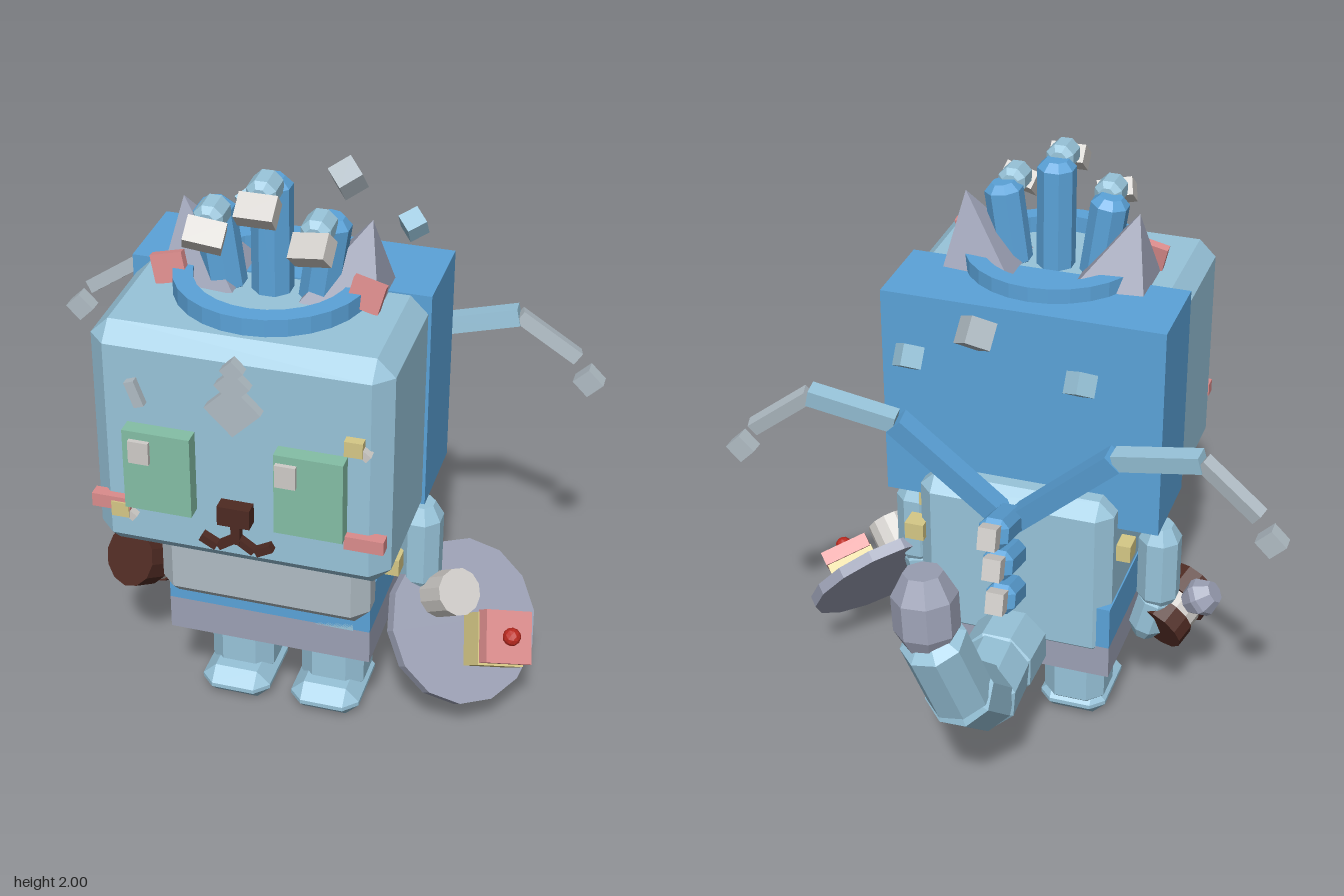
import * as THREE from 'three';
import { ConvexGeometry } from 'three/addons/geometries/ConvexGeometry.js';

const V = (x, y, z) => new THREE.Vector3(x, y, z);
const UP = V(0, 1, 0);

function makeMaterials() {
  const colours = {
    lightBlue: 0x98c4da, blue: 0x5ba3d9, slate: 0x9ca1b5, paleGrey: 0xb0bcc4, cream: 0xcfccc8,
    green: 0x84bfa6, brown: 0x4e2a22, pink: 0xdb8c8c, yellow: 0xd6c886, red: 0xbc2a20,
  };
  const mats = {};
  for (const [name, color] of Object.entries(colours)) {
    mats[name] = new THREE.MeshStandardMaterial({ color });
    mats[name].name = name;
  }
  return mats;
}

// Split the faces so each one is shaded flat
function flat(geo) {
  const g = geo.index ? geo.toNonIndexed() : geo;
  g.computeVertexNormals();
  return g;
}

// Box with every edge cut off
function chamferBox(w, h, d, c) {
  const pts = [], half = [w / 2, h / 2, d / 2];
  for (const sx of [-1, 1]) for (const sy of [-1, 1]) for (const sz of [-1, 1])
    for (let keep = 0; keep < 3; keep++) {
      const p = half.map((v, i) => (i === keep ? v : v - c));
      pts.push(V(p[0] * sx, p[1] * sy, p[2] * sz));
    }
  return new ConvexGeometry(pts);
}

// Eight-sided rod with bevelled ends
function rodGeometry(r, len, cut = 0.4) {
  const k = r * cut, h = len / 2;
  const profile = [[0, -h], [r * 0.6, -h], [r, -h + k], [r, h - k], [r * 0.6, h], [0, h]];
  return flat(new THREE.LatheGeometry(profile.map(([x, y]) => new THREE.Vector2(x, y)), 8, Math.PI / 8));
}

export function createModel() {
  const m = makeMaterials();
  const model = new THREE.Group();
  model.name = 'catCharacter';

  function add(name, geo, mat, pos, rot = [0, 0, 0], parent = model) {
    const mesh = new THREE.Mesh(geo, mat);
    mesh.name = name;
    mesh.position.set(...pos);
    mesh.rotation.set(...rot);
    parent.add(mesh);
    return mesh;
  }
  const box = (name, size, mat, pos, rot, parent) =>
    add(name, new THREE.BoxGeometry(...size), mat, pos, rot, parent);

  // Place a y-aligned geometry between two points
  function span(name, a, b, mat, makeGeo) {
    const dir = b.clone().sub(a), mid = a.clone().add(b).multiplyScalar(0.5);
    const mesh = add(name, makeGeo(dir.length()), mat, mid.toArray());
    mesh.quaternion.setFromUnitVectors(UP, dir.normalize());
    return mesh;
  }
  const rod = (name, a, b, r, mat, cut) => span(name, a, b, mat, (l) => rodGeometry(r, l, cut));
  const bar = (name, a, b, w, mat) => span(name, a, b, mat, (l) => new THREE.BoxGeometry(w, l, w));

  // Head, hood and the ring on top
  add('head', chamferBox(0.91, 0.77, 0.51, 0.055), m.lightBlue, [0, 1.225, 0.47]);
  box('hood', [0.93, 0.735, 0.3], m.blue, [0, 1.2475, 0.145]);
  const ring = new THREE.Shape().absarc(0, 0, 0.295, 0, Math.PI * 2);
  ring.holes.push(new THREE.Path().absarc(0, 0, 0.235, 0, Math.PI * 2, true));
  const ringGeo = new THREE.ExtrudeGeometry(ring, { depth: 0.07, bevelEnabled: false, curveSegments: 14 });
  add('crownRing', flat(ringGeo), m.blue, [0, 1.595, 0.36], [-Math.PI / 2, 0, 0]);

  // Ears
  for (const s of [-1, 1]) {
    const ear = new THREE.ConeGeometry(0.177, 0.27, 4).rotateY(Math.PI / 4);
    add('ear', flat(ear), m.slate, [s * 0.255, 1.715, 0.31], [0, 0, -s * 0.24]);
    box('innerEar', [0.1, 0.09, 0.03], m.pink, [s * 0.3, 1.66, 0.415], [-0.15, 0, -s * 0.24]);
  }

  // Three curled fingers with claws inside the ring
  for (const s of [-1, 0, 1]) {
    const x = s * 0.16, drop = s ? 0.1 : 0;
    rod('crownFinger', V(s * 0.14, 1.58, 0.36), V(s * 0.18, 1.97 - drop, 0.36), 0.063, m.blue);
    rod('crownFingerTip', V(x, 1.96 - drop, 0.37), V(x, 1.955 - drop, 0.48), 0.048, m.lightBlue);
    box('crownClaw', [0.115, 0.06, 0.08], m.cream, [x, 1.925 - drop, 0.497], [0.7, 0, s * 0.25]);
  }

  // Eyes and cheeks
  for (const s of [-1, 1]) {
    box('eye', [0.207, 0.27, 0.05], m.green, [s * 0.23, 1.17, 0.75]);
    box('cheek', [0.12, 0.045, 0.04], m.pink, [s * 0.39, 1.022, 0.73]);
  }
  for (const x of [-0.28, 0.165]) box('eyeGlint', [0.063, 0.074, 0.02], m.cream, [x, 1.242, 0.78]);

  // Nose and mouth
  box('nose', [0.1, 0.065, 0.05], m.brown, [0, 1.055, 0.745]);
  box('mouthStem', [0.028, 0.08, 0.03], m.brown, [0, 0.99, 0.74]);
  for (const s of [-1, 1]) {
    box('mouthSide', [0.06, 0.022, 0.03], m.brown, [s * 0.03, 0.945, 0.738], [0, 0, -s * 0.6]);
    box('mouthCorner', [0.055, 0.025, 0.03], m.brown, [s * 0.085, 0.94, 0.738], [0, 0, s * 0.5]);
  }

  // Forehead mark, scar and small face patches
  for (const [y, side] of [[1.415, 0.12], [1.495, 0.075], [1.545, 0.05]])
    box('foreheadDiamond', [side, side, 0.035], m.paleGrey, [0, y, 0.74], [0, 0, Math.PI / 4]);
  box('scar', [0.032, 0.085, 0.03], m.paleGrey, [-0.3, 1.415, 0.735], [0, 0, 0.35]);
  for (const [x, y] of [[0.357, 1.35], [-0.36, 1.005]]) {
    box('facePatch', [0.055, 0.05, 0.03], m.yellow, [x, y, 0.74]);
    box('facePatchSliver', [0.025, 0.06, 0.03], m.cream, [x + 0.02, y - 0.01, 0.735], [0, 0, 0.9]);
  }

  // Torso, belly and shorts
  add('torso', chamferBox(0.66, 0.6, 0.54, 0.05), m.lightBlue, [0, 0.7, 0.17]);
  add('belly', chamferBox(0.685, 0.45, 0.16, 0.05), m.paleGrey, [0, 0.74, 0.44]);
  box('shortsTop', [0.67, 0.155, 0.53], m.blue, [0, 0.5325, 0.175]);
  box('shortsBottom', [0.67, 0.12, 0.53], m.slate, [0, 0.395, 0.175]);

  // Legs, feet and arms
  for (const s of [-1, 1]) {
    add('leg', chamferBox(0.215, 0.4, 0.215, 0.05), m.lightBlue, [s * 0.157, 0.23, 0.178]);
    add('foot', chamferBox(0.235, 0.105, 0.3, 0.045), m.lightBlue, [s * 0.155, 0.0525, 0.22]);
    rod('upperArm', V(s * 0.43, 0.48, 0.175), V(s * 0.43, 0.805, 0.175), 0.073, m.lightBlue, 0.7);
    rod('foreArm', V(s * 0.435, 0.55, 0.17), V(s * 0.385, 0.35, 0.17), 0.062, m.lightBlue, 0.7);
  }

  // Yellow studs on the sides of the torso
  for (const p of [[0.345, 0.82, 0.085], [0.34, 0.785, -0.065], [0.355, 0.61, 0.255],
    [-0.35, 0.8, 0.19], [-0.345, 0.79, 0.02]])
    box('sideStud', [0.065, 0.06, 0.07], m.yellow, p);
  box('sideSliver', [0.03, 0.03, 0.065], m.cream, [0.335, 0.75, 0.07], [0.6, 0, 0]);

  // Barrel mallet in the right hand
  const a = V(-0.52, 0.49, 0.32), b = V(-0.44, 0.4, 0.14);
  const cuts = [[0, 0.42, 0.1, m.brown], [0.42, 0.68, 0.088, m.cream], [0.68, 1, 0.095, m.brown]];
  for (const [t0, t1, r, mat] of cuts)
    span('malletSection', a.clone().lerp(b, t0), a.clone().lerp(b, t1), mat,
      (l) => flat(new THREE.CylinderGeometry(r, r, l, 12)));
  rod('malletKnob', V(-0.535, 0.505, 0.175), V(-0.625, 0.57, 0.175), 0.065, m.slate, 0.7);

  // Shield with its fittings, built facing +z then turned outward
  const shield = new THREE.Group();
  shield.name = 'shield';
  shield.position.set(0.58, 0.37, 0.19);
  shield.lookAt(shield.position.clone().add(V(0.62, 0.58, 0.52)));
  model.add(shield);
  const disc = (r, l, n) => flat(new THREE.CylinderGeometry(r, r, l, n).rotateX(Math.PI / 2));
  add('shieldPlate', disc(0.27, 0.04, 14), m.slate, [0, 0, 0], [0, 0, 0], shield);
  add('shieldPost', disc(0.077, 0.13, 12), m.cream, [-0.057, 0.112, 0.08], [0, 0, 0], shield);
  box('shieldBlock', [0.17, 0.17, 0.1], m.yellow, [0.052, -0.088, 0.06], [0, 0, -0.4], shield);
  box('shieldBlockTop', [0.17, 0.17, 0.05], m.pink, [0.058, -0.083, 0.13], [0, 0, -0.4], shield);
  add('shieldGem', flat(new THREE.IcosahedronGeometry(0.03, 1)), m.red, [0.058, -0.083, 0.17], [0, 0, 0], shield);

  // Jointed feelers rising from the back
  for (const s of [-1, 1]) {
    const j = [V(s * 0.02, 0.92, -0.11), V(s * 0.36, 1.25, -0.17), V(s * 0.64, 1.315, -0.2), V(s * 0.83, 1.175, -0.23)];
    bar('feelerBase', j[0], j[1], 0.068, m.blue);
    bar('feelerMiddle', j[1], j[2], 0.058, m.lightBlue);
    bar('feelerEnd', j[2], j[3], 0.045, m.paleGrey);
    box('feelerTip', [0.07, 0.07, 0.05], m.paleGrey, [s * 0.873, 1.095, -0.23], [0, 0, Math.PI / 4]);
  }

  // Spine plates
  for (const [y, z, len] of [[0.945, -0.2, 0.21], [0.8, -0.165, 0.2], [0.65, -0.145, 0.19]]) {
    add('spinePlate', chamferBox(0.1, 0.1, len, 0.025), m.blue, [0, y, z], [0.27, 0, 0]);
    box('spineStud', [0.06, 0.075, 0.05], m.cream, [0, y + 0.035, z - len * 0.58], [0.27, 0, 0]);
  }

  // Tail
  const tail = [V(0, 0.42, -0.02), V(0, 0.43, -0.26), V(-0.01, 0.44, -0.44), V(0, 0.59, -0.61), V(0.05, 0.83, -0.69)];
  for (let i = 0; i < 4; i++) {
    const over = tail[i + 1].clone().sub(tail[i]).setLength(0.04);
    rod('tailSegment', tail[i].clone().sub(over), tail[i + 1].clone().add(over), 0.128 - i * 0.007, m.lightBlue, 0.3);
  }
  rod('tailTip', V(0.065, 0.8, -0.695), V(0.085, 1.07, -0.675), 0.103, m.slate, 0.75);

  // Cubes drifting behind the head
  box('driftingCube', [0.085, 0.085, 0.085], m.paleGrey, [0.05, 1.675, -0.28], [0.6, 0.7, 0.1]);
  for (const s of [-1, 1])
    box('driftingCube', [0.068, 0.068, 0.068], m.lightBlue, [s * 0.272, 1.55, -0.265], [0.6, s * 0.7, 0]);

  return model;
}
